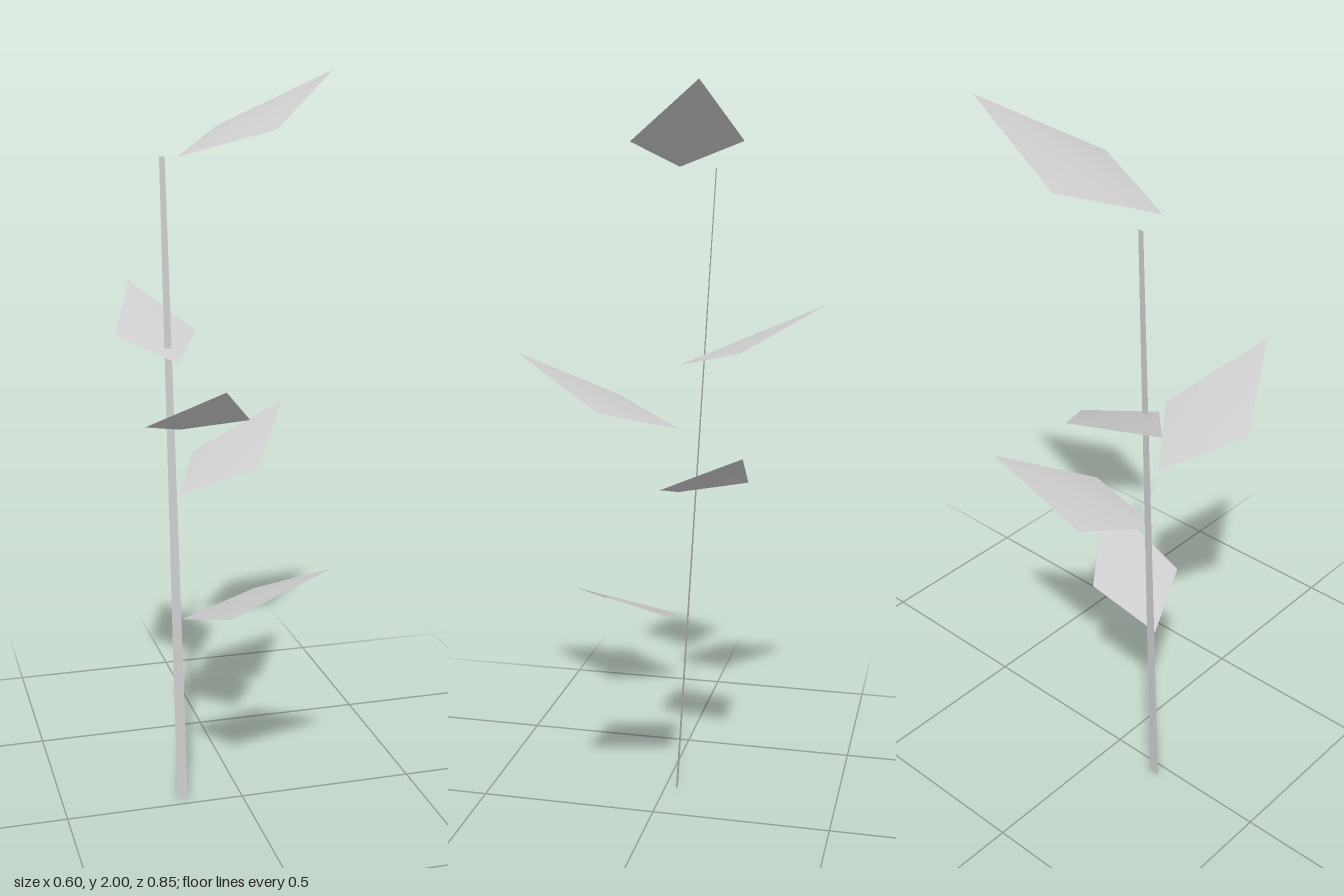
import * as THREE from 'three';

export function createModel() {
  const plant = new THREE.Group();
  plant.name = 'plantStem';
  const paleGrey = new THREE.MeshStandardMaterial({ color: 0xcccccc, side: THREE.DoubleSide });
  paleGrey.name = 'paleGrey';

  // Thin sheet from corner points and triangles
  function addSheet(name, points, faces) {
    const geometry = new THREE.BufferGeometry();
    geometry.setAttribute('position', new THREE.Float32BufferAttribute(points.flat(), 3));
    geometry.setIndex(faces);
    geometry.computeVertexNormals();
    const mesh = new THREE.Mesh(geometry, paleGrey);
    mesh.name = name;
    plant.add(mesh);
  }

  // Tapered flat stalk, leaning back
  addSheet('stalk', [
    [-0.182, 0, -0.034], [-0.151, 0, -0.034],
    [-0.172, 1.783, -0.131], [-0.187, 1.783, -0.131],
  ], [0, 1, 2, 0, 2, 3]);

  // Leaves folded along the midrib: base height, one side, tip, other side
  const leaves = [
    ['lowerFrontLeaf', 0.54, [0.05, 0.603, -0.058], [0.204, 0.723, 0.163], [-0.077, 0.603, 0.16]],
    ['lowerBackLeaf', 0.897, [-0.079, 0.957, -0.246], [0.194, 1.086, -0.275], [0.055, 0.957, -0.032]],
    ['frontLeaf', 1.077, [-0.023, 1.14, 0.16], [-0.154, 1.275, 0.423], [-0.296, 1.14, 0.166]],
    ['backLeaf', 1.255, [-0.303, 1.31, -0.19], [-0.217, 1.425, -0.427], [-0.073, 1.308, -0.221]],
    ['topLeaf', 1.786, [-0.005, 1.856, -0.235], [0.301, 2, -0.179], [0.08, 1.855, 0.04]],
  ];
  for (const [name, baseY, sideA, tip, sideB] of leaves) {
    addSheet(name, [[-0.163, baseY, -0.036], sideA, tip, sideB], [0, 2, 1, 0, 3, 2]);
  }
  return plant;
}
